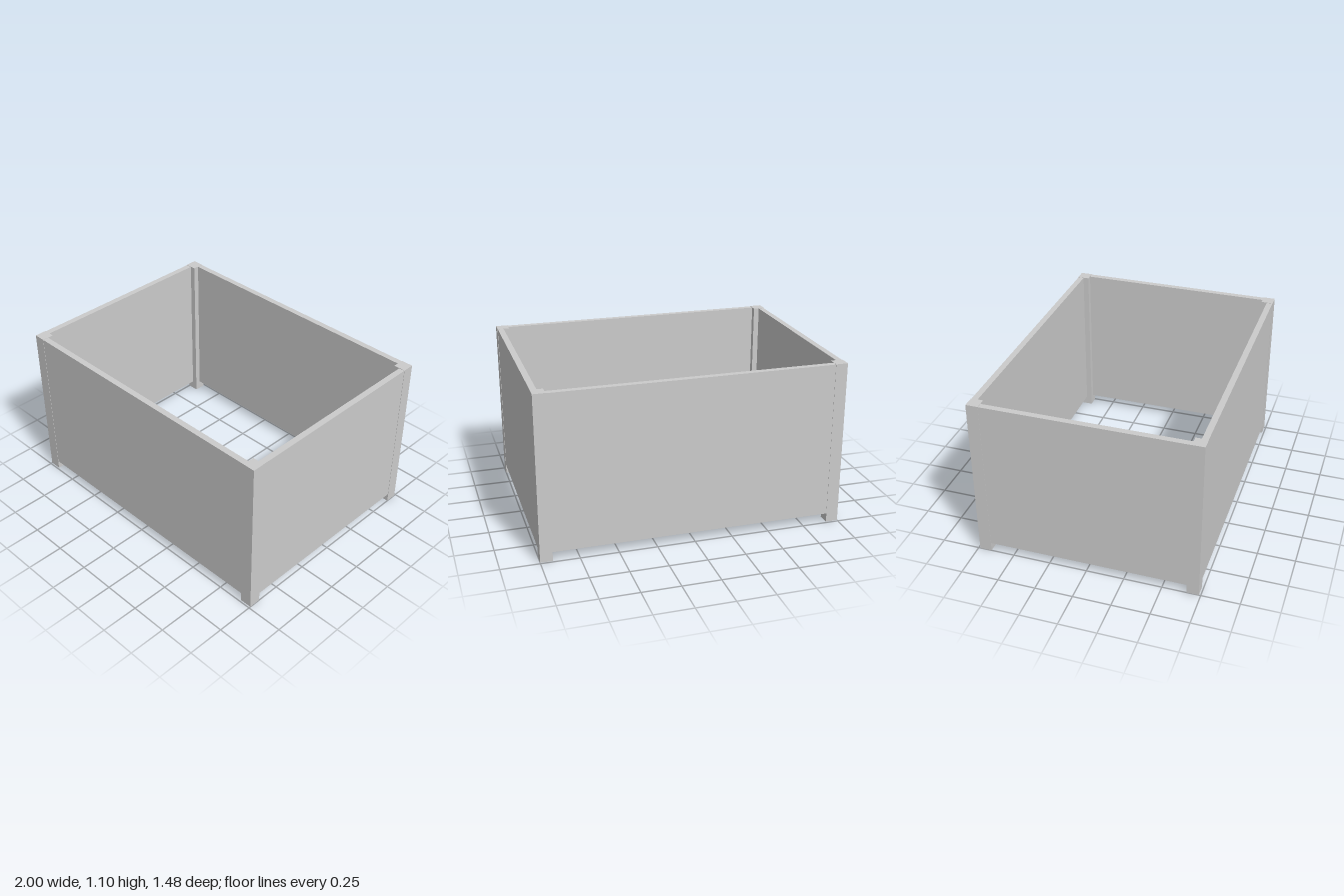
import * as THREE from 'three';

const HALF_X = 1, HALF_Z = 0.738, HEIGHT = 1.1;
const POST = 0.08, PANEL = 0.04, GAP = 0.06, INSET = 0.002;

export function createModel() {
  const group = new THREE.Group();
  const material = new THREE.MeshStandardMaterial({ color: 0xcccccc, flatShading: true });

  const addBox = (name, w, h, d, x, y, z) => {
    const mesh = new THREE.Mesh(new THREE.BoxGeometry(w, h, d), material);
    mesh.name = name;
    mesh.position.set(x, y, z);
    group.add(mesh);
  };

  // Four square corner posts that reach the ground
  for (const sx of [-1, 1]) {
    for (const sz of [-1, 1]) {
      const name = (sz > 0 ? 'front' : 'back') + (sx > 0 ? 'Left' : 'Right') + 'Post';
      addBox(name, POST, HEIGHT, POST, sx * (HALF_X - POST / 2), HEIGHT / 2, sz * (HALF_Z - POST / 2));
    }
  }

  // Thin wall panels between the posts, raised off the ground; top and bottom stay open
  const panelHeight = HEIGHT - GAP - INSET;
  const panelY = GAP + panelHeight / 2;
  for (const s of [-1, 1]) {
    addBox(s > 0 ? 'frontPanel' : 'backPanel', 2 * (HALF_X - POST), panelHeight, PANEL,
      0, panelY, s * (HALF_Z - INSET - PANEL / 2));
    addBox(s > 0 ? 'leftPanel' : 'rightPanel', PANEL, panelHeight, 2 * (HALF_Z - POST),
      s * (HALF_X - INSET - PANEL / 2), panelY, 0);
  }

  return group;
}
